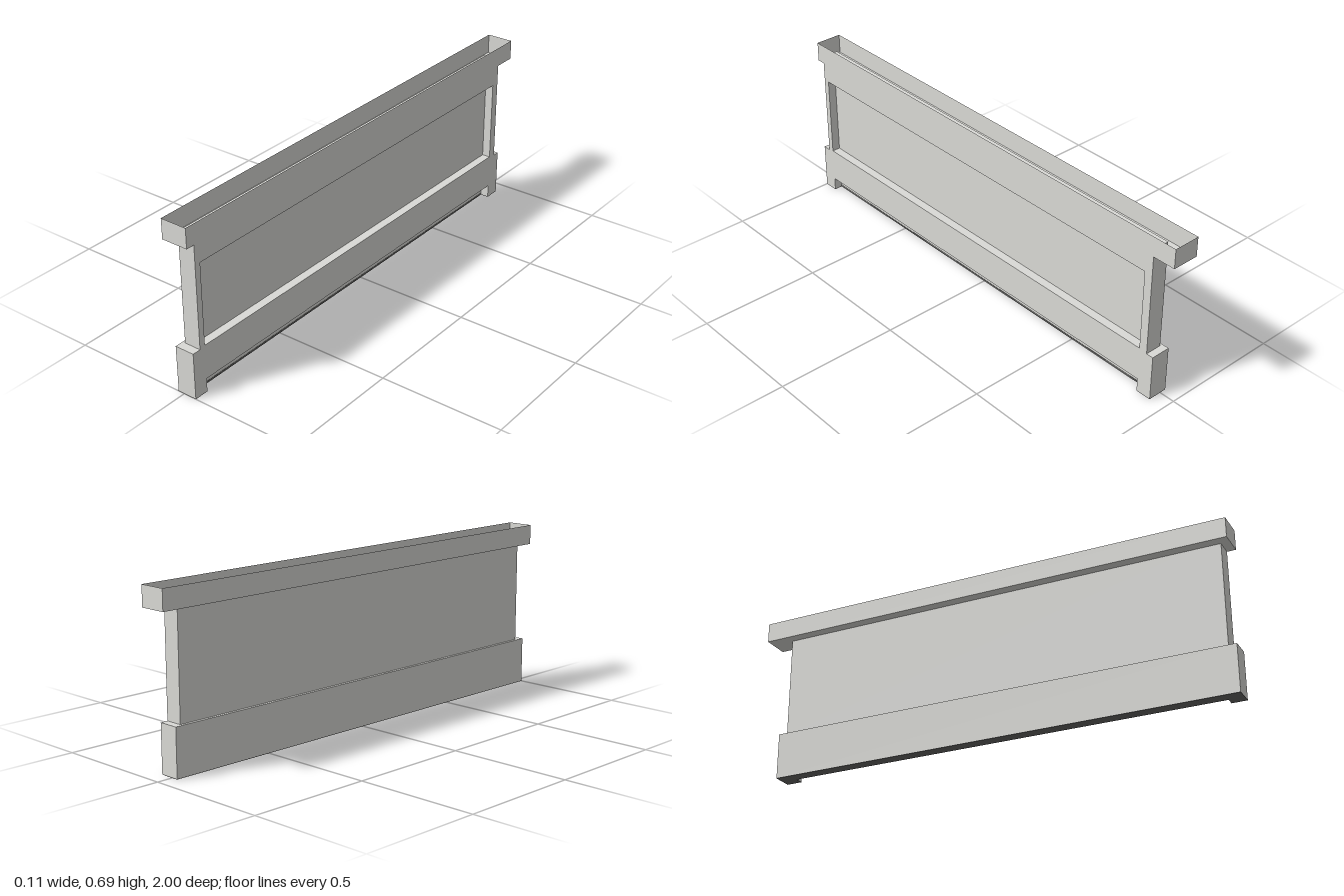
import * as THREE from 'three';

const FACE = 0.055;  // flush front plane of the panel (+x)
const RECESS = 0.02; // plane at the bottom of both recesses
const SOLE = 0.002;  // thickness of the dark underside

export function createModel() {
  const group = new THREE.Group();
  group.name = 'panelledParapet';
  const makeMaterial = (name, color) => {
    const material = new THREE.MeshStandardMaterial({ color, side: THREE.DoubleSide });
    material.name = name;
    return material;
  };
  const stone = makeMaterial('pale stone', 0xdadad6);
  const shade = makeMaterial('mid grey stone', 0xa9a9a6);
  const dark = makeMaterial('dark stone', 0x666664);

  const add = (name, geometry, material = stone) => {
    const mesh = new THREE.Mesh(geometry, material);
    mesh.name = name;
    group.add(mesh);
  };

  // Box given by its limits on each axis
  const box = (x0, x1, y0, y1, z0, z1) =>
    new THREE.BoxGeometry(x1 - x0, y1 - y0, z1 - z0)
      .translate((x0 + x1) / 2, (y0 + y1) / 2, (z0 + z1) / 2);

  // Outline of [z, y] points, extruded along x from the recess plane to the face
  const path = (points) => points.map(([z, y]) => new THREE.Vector2(-z, y));
  const relief = (outline, hole) => {
    const shape = new THREE.Shape(path(outline));
    if (hole) shape.holes.push(new THREE.Path(path(hole)));
    return new THREE.ExtrudeGeometry(shape, { depth: FACE - RECESS, bevelEnabled: false })
      .rotateY(Math.PI / 2)
      .translate(RECESS, 0, 0);
  };
  const rect = (z0, z1, y0, y1) => [[z0, y0], [z1, y0], [z1, y1], [z0, y1]];

  // Wall: back slab with a raised frame around a sunken panel
  add('wallSlab', box(-0.015, RECESS, 0.19, 0.64, -0.905, 0.965));
  add('wallFrame', relief(rect(-0.905, 0.965, 0.19, 0.64), rect(-0.87, 0.94, 0.195, 0.531)));
  add('panelSoffit', box(RECESS, FACE - 0.0005, 0.53, 0.531, -0.87, 0.94), shade);

  // Plinth: back slab and a front with a long notch along the ground
  add('plinthSlab', box(-0.027, RECESS, SOLE, 0.19, -0.935, 1));
  add('plinthFront', relief([
    [-0.935, SOLE], [-0.87, SOLE], [-0.87, 0.055], [0.94, 0.055],
    [0.94, SOLE], [1, SOLE], [1, 0.19], [-0.935, 0.19],
  ]));

  // Dark underside of the plinth and its two feet, with a thin line along the notch
  add('plinthSole', box(-0.027, RECESS, 0, SOLE, -0.935, 1), dark);
  for (const [z0, z1] of [[-0.935, -0.87], [0.94, 1]]) {
    add('footSole', box(RECESS, FACE, 0, SOLE, z0, z1), dark);
  }
  add('notchLine', box(RECESS, RECESS + 0.001, 0, 0.008, -0.87, 0.94), dark);

  // Coping: thin trough with its top face left out
  const coping = box(-0.056, FACE, 0.609, 0.69, -1, 1);
  const index = Array.from(coping.index.array);
  index.splice(12, 6);
  coping.setIndex(index);
  coping.clearGroups();
  add('copingTrough', coping);

  return group;
}
